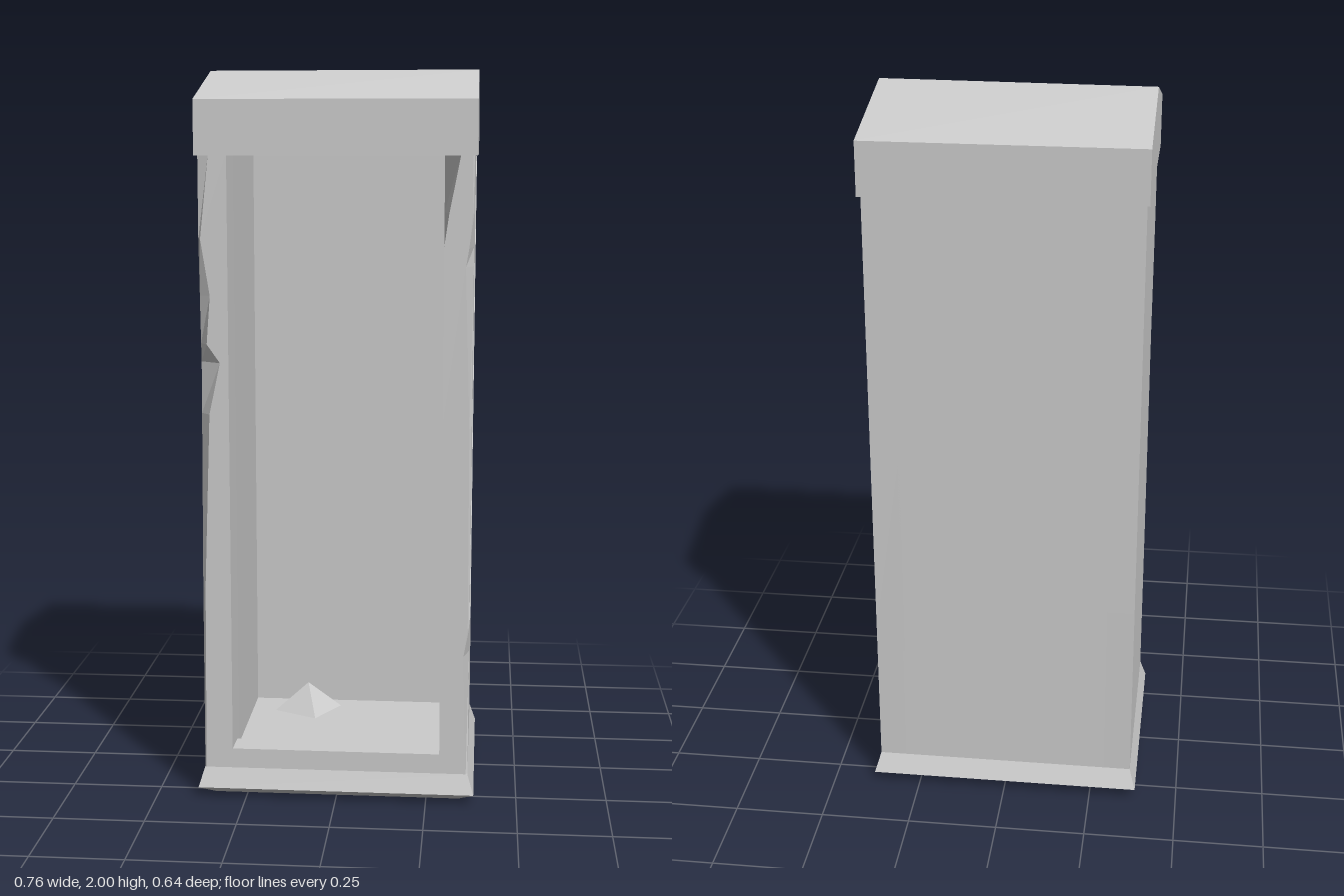
import * as THREE from 'three';

const material = new THREE.MeshStandardMaterial({ color: 0xcccccc, flatShading: true });

// Joins rings of [x, y, z] points (counter-clockwise from above) and caps both ends.
function loft(rings) {
  const n = rings[0].length;
  const pos = [];
  const tri = (a, b, c) => pos.push(...a, ...b, ...c);
  for (let i = 0; i < rings.length - 1; i++) {
    for (let j = 0; j < n; j++) {
      const k = (j + 1) % n;
      const [a, b, c, d] = [rings[i][j], rings[i][k], rings[i + 1][k], rings[i + 1][j]];
      tri(a, b, c);
      tri(a, c, d);
    }
  }
  const first = rings[0], last = rings[rings.length - 1];
  for (let j = 1; j < n - 1; j++) {
    tri(first[0], first[j + 1], first[j]);
    tri(last[0], last[j], last[j + 1]);
  }
  const g = new THREE.BufferGeometry();
  g.setAttribute('position', new THREE.Float32BufferAttribute(pos, 3));
  g.computeVertexNormals();
  return g;
}

const rectRing = (y, x0, x1, z0, z1) => [[x1, y, z1], [x1, y, z0], [x0, y, z0], [x0, y, z1]];

// Side wall with a front edge chipped by varying amounts; levels are [y, chipX, chipZ, innerX].
function sideWall(side, levels) {
  return loft(levels.map(([y, cx, cz, ix]) => {
    const ring = [
      [0.365, y, 0.305 - cz], [0.365, y, -0.295], [0.285, y, -0.295],
      [0.285, y, 0.2], [ix, y, 0.305], [0.365 - cx, y, 0.305],
    ].map(([x, h, z]) => [side * x, h, z]);
    return side > 0 ? ring : ring.reverse();
  }));
}

export function createModel() {
  const model = new THREE.Group();
  const add = (name, geometry, x = 0, y = 0, z = 0) => {
    const mesh = new THREE.Mesh(geometry, material);
    mesh.name = name;
    mesh.position.set(x, y, z);
    model.add(mesh);
    return mesh;
  };

  // Flared plinth with a shallow recess underneath
  add('plinth', loft([
    rectRing(0.07, -0.27, 0.24, -0.19, 0.19),
    rectRing(0.005, -0.27, 0.24, -0.19, 0.19),
    rectRing(0, -0.34, 0.34, -0.27, 0.27),
    rectRing(0.03, -0.382, 0.382, -0.318, 0.322),
    rectRing(0.085, -0.365, 0.365, -0.295, 0.305),
  ]));

  // Chipped side walls
  add('rightWall', sideWall(1, [
    [0.07, 0.005, 0.005, 0.287], [0.42, 0.015, 0.06, 0.287], [0.5, 0.004, 0.006, 0.287],
    [1.05, 0.006, 0.01, 0.287], [1.48, 0.02, 0.05, 0.287], [1.53, 0.012, 0.06, 0.287],
    [1.62, 0.004, 0.008, 0.3], [1.775, 0.004, 0.004, 0.33],
  ]));
  add('leftWall', sideWall(-1, [
    [0.07, 0.004, 0.004, 0.287], [0.6, 0.008, 0.01, 0.287], [1.08, 0.025, 0.03, 0.287],
    [1.22, 0.055, 0.035, 0.287], [1.27, 0.02, 0.03, 0.287], [1.4, 0.03, 0.02, 0.287],
    [1.55, 0.006, 0.008, 0.287], [1.775, 0.03, 0.01, 0.287],
  ]));

  // Back panel, floor and front sill of the hollow
  add('backPanel', new THREE.BoxGeometry(0.58, 1.7, 0.085), 0, 0.925, -0.2525);
  add('floor', new THREE.BoxGeometry(0.58, 0.04, 0.48), 0, 0.095, 0);
  add('sill', new THREE.BoxGeometry(0.6, 0.06, 0.08), 0, 0.11, 0.265);

  // Small heap at the back of the floor
  const heap = add('heap', new THREE.ConeGeometry(0.1, 0.08, 4), -0.12, 0.155, -0.13);
  heap.rotation.y = 0.3;

  // Gabled roof block with a slightly skewed ridge
  const gable = new THREE.Shape([
    [-0.315, 1.77], [0.315, 1.77], [0.315, 1.915], [-0.02, 2], [-0.315, 1.915],
  ].map(([a, b]) => new THREE.Vector2(a, b)));
  const roof = new THREE.ExtrudeGeometry(gable, { depth: 0.745, bevelEnabled: false });
  roof.translate(0, 0, -0.3725).rotateY(Math.PI / 2);
  const p = roof.attributes.position;
  for (let i = 0; i < p.count; i++) {
    if (p.getY(i) > 1.95) p.setZ(i, 0.02 + 0.03 * p.getX(i));
  }
  roof.computeVertexNormals();
  add('roof', roof);

  // Long diagonal scratch across the right wall
  const scratch = new THREE.Shape([
    [0.24, 1.765], [0.22, 1.765], [-0.22, 0.5],
  ].map(([a, b]) => new THREE.Vector2(a, b)));
  const scratchGeometry = new THREE.ExtrudeGeometry(scratch, { depth: 0.004, bevelEnabled: false });
  scratchGeometry.rotateY(Math.PI / 2);
  add('scratch', scratchGeometry, 0.363);

  return model;
}
